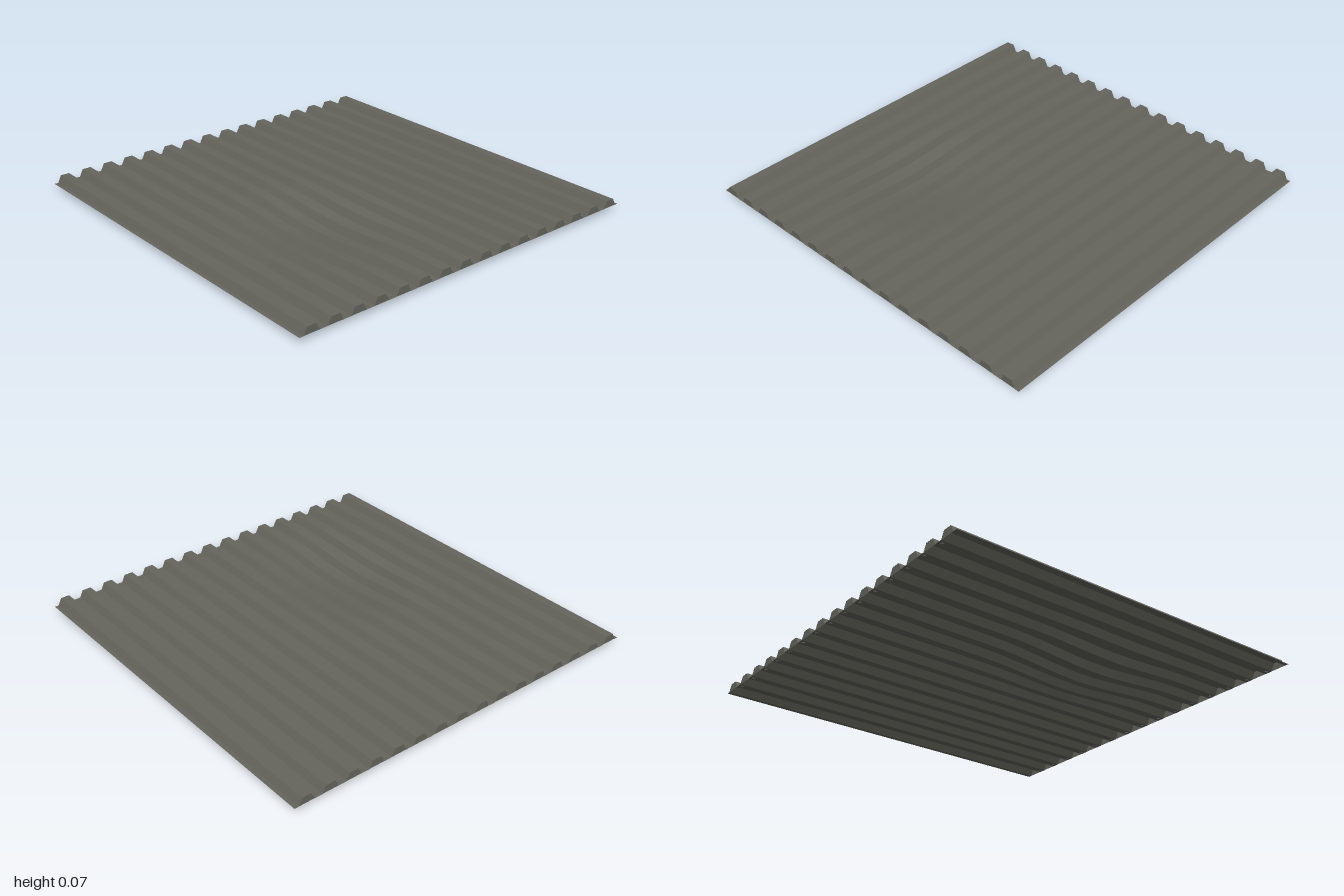
import * as THREE from 'three';

const RIBS = 16, PITCH = 2 / RIBS;
const FLOOR = 0.034, TOP = 0.071;      // heights of the valleys and the ribs
const FOOT = 0.042, CREST = 0.023;     // half widths of a rib at foot and crest
const STEPS = 64;                      // divisions along the ribs

// Shallow round dent pressed into the sheet
function dent(x, z) {
  const r = Math.min(1, Math.hypot((x - 0.29) / 0.56, (z - 0.31) / 0.45));
  return 0.033 * 0.5 * (1 + Math.cos(Math.PI * r));
}

export function createModel() {
  const group = new THREE.Group();
  const steel = new THREE.MeshStandardMaterial({ color: 0x66665e, side: THREE.DoubleSide, flatShading: true });
  const ribCentre = (i) => -1 + PITCH * (i + 0.5);

  // Trapezoid cross-section of the whole sheet as [z, y]
  const profile = [[-1, FLOOR]];
  for (let i = 0; i < RIBS; i++) {
    const c = ribCentre(i);
    profile.push([c - FOOT, FLOOR], [c - CREST, TOP], [c + CREST, TOP], [c + FOOT, FLOOR]);
  }
  profile.push([1, FLOOR]);

  // Corrugated sheet: a plane folded to the profile, then dented
  const geo = new THREE.PlaneGeometry(2, 2, STEPS, profile.length - 1).rotateX(-Math.PI / 2);
  const pos = geo.attributes.position;
  for (let k = 0; k < pos.count; k++) {
    const [z, y] = profile[Math.floor(k / (STEPS + 1))];
    const x = pos.getX(k);
    pos.setXYZ(k, x, y - dent(x, z), z);
  }
  geo.computeVertexNormals();
  const sheet = new THREE.Mesh(geo, steel);
  sheet.name = 'corrugatedSheet';
  group.add(sheet);

  // Closures filling the rib ends, and small fixings in the valleys
  const capShape = new THREE.Shape([
    new THREE.Vector2(-FOOT, FLOOR), new THREE.Vector2(FOOT, FLOOR),
    new THREE.Vector2(CREST, TOP), new THREE.Vector2(-CREST, TOP),
  ]);
  const capGeo = new THREE.ShapeGeometry(capShape).rotateY(Math.PI / 2);
  const fixingGeo = new THREE.CylinderGeometry(0.009, 0.009, 0.006, 8);
  for (const side of [-1, 1]) {
    for (let i = 0; i < RIBS; i++) {
      const cap = new THREE.Mesh(capGeo, steel);
      cap.name = 'ribEnd';
      cap.position.set(side * 0.999, 0, ribCentre(i));
      if (side < 0) cap.rotation.y = Math.PI;
      group.add(cap);
      if (i === RIBS - 1) continue;
      const fixing = new THREE.Mesh(fixingGeo, steel);
      fixing.name = 'fixing';
      fixing.position.set(side * 0.98, FLOOR - 0.001, ribCentre(i) + PITCH / 2);
      group.add(fixing);
    }
  }
  return group;
}
